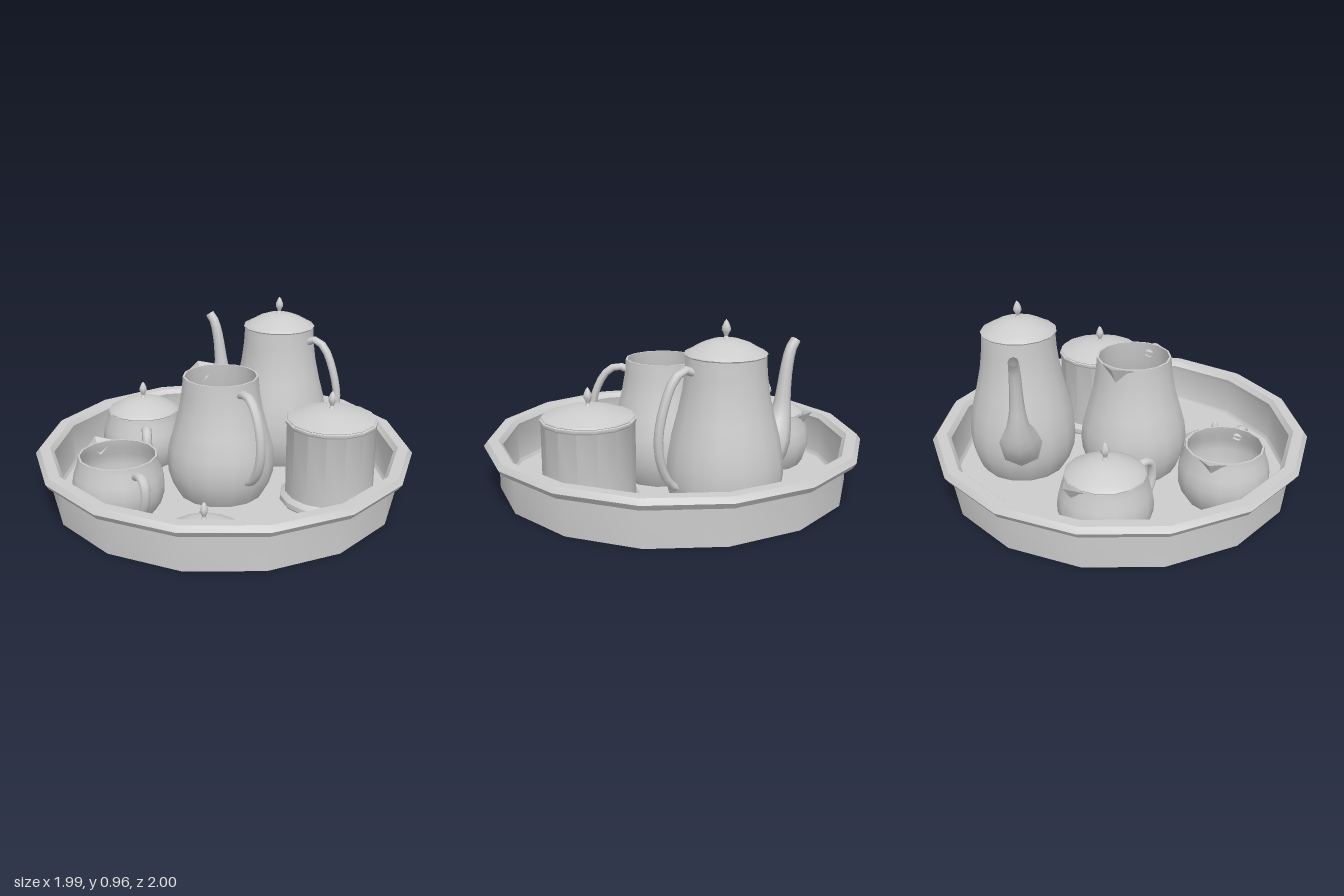
import * as THREE from 'three';
import { toCreasedNormals } from 'three/addons/utils/BufferGeometryUtils.js';

const material = new THREE.MeshStandardMaterial({ color: 0xcccccc, side: THREE.DoubleSide });
const SIDES = 15;

function mesh(name, geometry, crease = 0.65) {
  const m = new THREE.Mesh(toCreasedNormals(geometry, crease), material);
  m.name = name;
  return m;
}

// Turned shape with a corner on +x
function turned(name, profile, sides = SIDES) {
  const points = profile.map(([r, y]) => new THREE.Vector2(r, y));
  return mesh(name, new THREE.LatheGeometry(points, sides, Math.PI / 2));
}

// Tube along a curve in the x-y plane; each path point is [x, y, radius]
function taperedTube(name, path, widthScale, steps = 14, sides = 8) {
  const curve = new THREE.CatmullRomCurve3(path.map(([x, y]) => new THREE.Vector3(x, y, 0)));
  const radii = new THREE.CatmullRomCurve3(path.map(([, , r], i) => new THREE.Vector3(i, r, 0)));
  const geometry = new THREE.TubeGeometry(curve, steps, 1, sides, false);
  const pos = geometry.attributes.position;
  const v = new THREE.Vector3();
  for (let i = 0; i < pos.count; i++) {
    const t = Math.floor(i / (sides + 1)) / steps;
    const centre = curve.getPointAt(t);
    v.fromBufferAttribute(pos, i).sub(centre).multiplyScalar(radii.getPoint(t).y);
    v.z *= widthScale;
    v.add(centre);
    pos.setXYZ(i, v.x, v.y, v.z);
  }
  return mesh(name, geometry, 1.1);
}

const handle = (path) => taperedTube('handle', path.map(([x, y]) => [x, y, 0.02]), 1.35);

// V-shaped pouring lip at the rim
function beak(rim, y, reach, halfWidth, drop) {
  const back = Math.sqrt(rim * rim - halfWidth * halfWidth);
  const tip = [reach, y + 0.015, 0];
  const foot = [rim - 0.005, y - drop, 0];
  const left = [back, y, halfWidth];
  const right = [back, y, -halfWidth];
  const geometry = new THREE.BufferGeometry();
  geometry.setAttribute('position', new THREE.Float32BufferAttribute(
    [...tip, ...left, ...foot, ...tip, ...foot, ...right].flat(), 3));
  geometry.computeVertexNormals();
  return mesh('pouringLip', geometry, 0.1);
}

// Domed lid with a bud-shaped knob
function lid(radius, y, height) {
  const group = new THREE.Group();
  group.name = 'lid';
  const k = height - 0.012;
  group.add(
    turned('lidDome', [[0, 0], [radius, 0], [radius + 0.004, 0.006], [radius, 0.012],
      [radius * 0.85, 0.012 + k * 0.22], [radius * 0.62, 0.012 + k * 0.62],
      [radius * 0.34, 0.012 + k * 0.92], [0, height]]),
    turned('lidKnob', [[0.018, height - 0.006], [0.009, height + 0.012], [0.013, height + 0.024],
      [0.022, height + 0.04], [0.02, height + 0.056], [0.01, height + 0.08], [0, height + 0.092]], 8));
  group.position.y = y;
  return group;
}

// Point a part's +x toward (dx, dz)
function aim(part, dx, dz) {
  part.rotation.y = Math.atan2(-dz, dx);
  return part;
}

function place(name, x, z, ...parts) {
  const group = new THREE.Group();
  group.name = name;
  group.position.set(x, 0, z);
  group.add(...parts);
  return group;
}

export function createModel() {
  const model = new THREE.Group();
  model.name = 'teaSetOnTray';

  // Tray with a rolled rim
  const tray = turned('tray', [[0, 0], [0.93, 0], [0.93, 0.2], [0.985, 0.205], [1.0055, 0.235],
    [0.985, 0.262], [0.93, 0.262], [0.908, 0.238], [0.915, 0.205], [0.912, 0.03], [0.9, 0.012], [0, 0.012]]);
  tray.position.x = -0.011;
  model.add(tray);

  // Tall pot
  model.add(place('tallPot', 0.42, -0.315,
    turned('tallPotBody', [[0, 0.005], [0.22, 0.005], [0.25, 0.05], [0.278, 0.13], [0.287, 0.2],
      [0.283, 0.28], [0.266, 0.38], [0.237, 0.49], [0.213, 0.6], [0.2, 0.7], [0.194, 0.79]]),
    lid(0.197, 0.788, 0.078),
    aim(taperedTube('spout', [[0.22, 0.24, 0.12], [0.31, 0.32, 0.1], [0.36, 0.43, 0.064],
      [0.378, 0.56, 0.042], [0.395, 0.68, 0.034], [0.42, 0.77, 0.03], [0.45, 0.81, 0.026]], 1), -0.3, -0.31),
    aim(handle([[0.18, 0.72], [0.235, 0.74], [0.29, 0.7], [0.35, 0.56], [0.375, 0.42],
      [0.36, 0.3], [0.31, 0.2], [0.26, 0.17]]), 0.24, 0.28)));

  // Open jug
  model.add(place('jug', -0.05, 0.065,
    turned('jugBody', [[0, 0.005], [0.225, 0.005], [0.258, 0.06], [0.28, 0.13], [0.287, 0.2],
      [0.278, 0.28], [0.25, 0.38], [0.222, 0.48], [0.204, 0.58], [0.197, 0.66], [0.187, 0.66],
      [0.194, 0.58], [0.212, 0.48], [0.24, 0.38], [0.268, 0.28], [0.25, 0.06], [0, 0.02]]),
    aim(beak(0.197, 0.658, 0.245, 0.09, 0.09), -0.05, -0.225),
    aim(handle([[0.18, 0.6], [0.24, 0.62], [0.3, 0.59], [0.36, 0.48], [0.378, 0.36],
      [0.355, 0.25], [0.3, 0.17], [0.26, 0.15]]), 0.095, 0.385)));

  // Two round small pots: an open creamer and a lidded one
  const smallPot = (name, x, z, lipDir, handleDir, ...extra) => place(name, x, z,
    turned(name + 'Body', [[0, 0.005], [0.185, 0.005], [0.215, 0.05], [0.234, 0.11], [0.237, 0.16],
      [0.227, 0.22], [0.207, 0.275], [0.202, 0.31], [0.192, 0.31], [0.198, 0.27], [0.218, 0.22],
      [0.227, 0.16], [0.205, 0.05], [0, 0.02]]),
    aim(beak(0.202, 0.308, 0.256, 0.075, 0.07), ...lipDir),
    aim(handle([[0.19, 0.255], [0.24, 0.28], [0.285, 0.265], [0.302, 0.21], [0.285, 0.13],
      [0.25, 0.085], [0.215, 0.075]]), ...handleDir), ...extra);
  model.add(
    smallPot('creamer', -0.615, 0.115, [-0.07, -0.23], [0.075, 0.3]),
    smallPot('lidPot', -0.342, -0.49, [0.04, -0.255], [-0.05, 0.29], lid(0.197, 0.308, 0.078)));

  // Straight-sided box with a foot and a lid
  model.add(place('sugarBox', 0.455, 0.352,
    turned('sugarBoxBody', [[0, 0.005], [0.25, 0.005], [0.26, 0.02], [0.258, 0.045], [0.232, 0.065],
      [0.232, 0.44], [0.238, 0.448], [0.238, 0.46], [0.228, 0.464]]),
    lid(0.228, 0.46, 0.062)));

  // Spare lid lying on the tray
  model.add(place('spareLid', -0.28, 0.515, lid(0.194, 0.01, 0.078)));

  return model;
}
